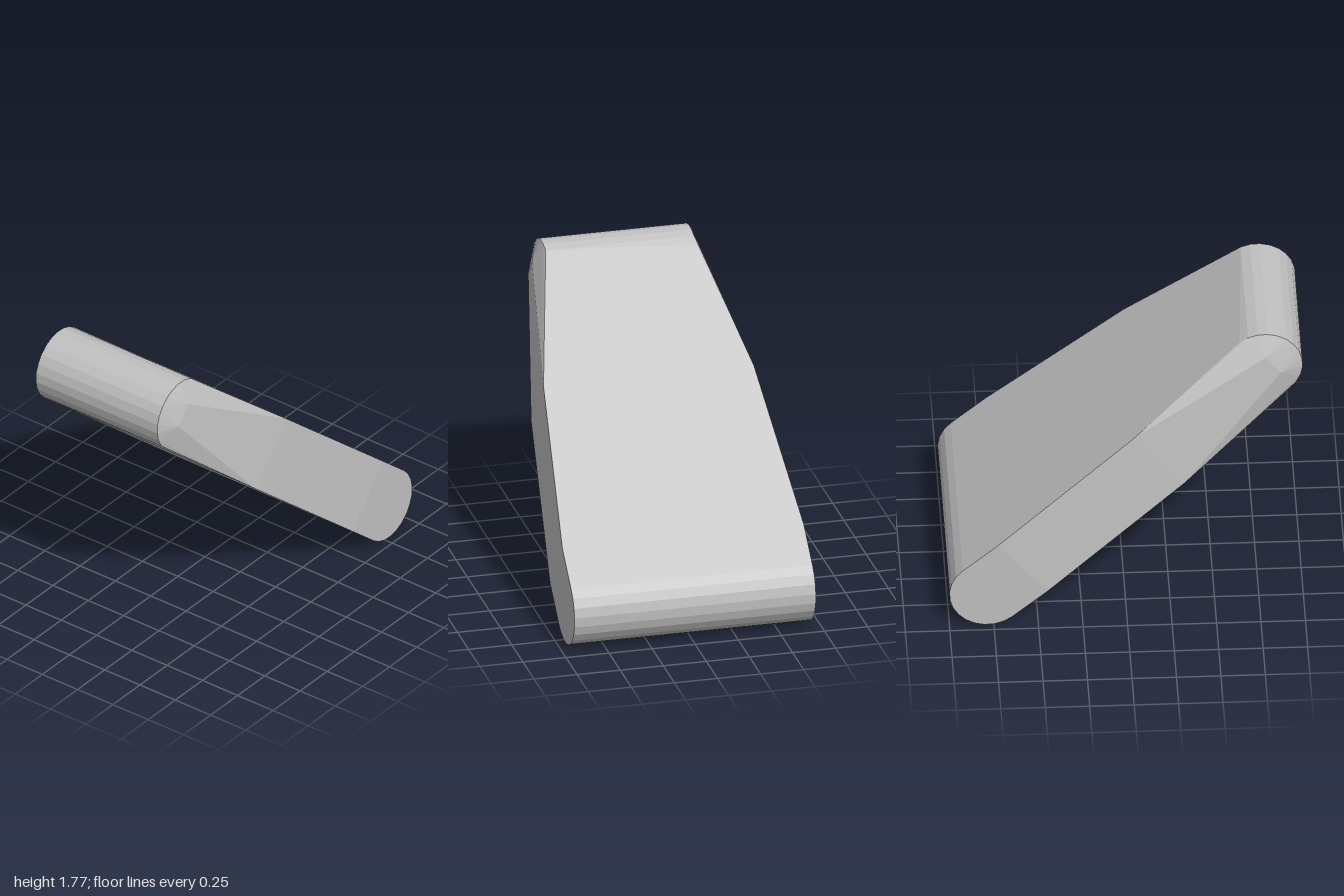
import * as THREE from 'three';
import { ConvexGeometry } from 'three/addons/geometries/ConvexGeometry.js';

const R = 0.215;                              // half thickness of the slab
const LOW = { z: -0.785, y: 0.215 };          // axis of the rounded low end
const HIGH = { z: 0.785, y: 1.555 };          // axis of the rounded high end
const LENGTH = Math.hypot(HIGH.z - LOW.z, HIGH.y - LOW.y);
const UZ = (HIGH.z - LOW.z) / LENGTH, UY = (HIGH.y - LOW.y) / LENGTH;

// x across, s along the slope from the low axis, n out of the upper face
function point(x, s, n) {
  return new THREE.Vector3(x, LOW.y + s * UY + n * UZ, LOW.z + s * UZ - n * UY);
}

export function createModel() {
  const grey = new THREE.MeshStandardMaterial({ color: 0xc0c0c0, flatShading: true });
  grey.name = 'light grey';

  const points = [];
  const steps = 12;
  for (const side of [-1, 1]) {
    // rounded ends; the left rim of the high end stops one step short
    const skip = side > 0 ? 1 : 0;
    for (let i = 0; i <= steps; i++) {
      const a = (i / steps) * Math.PI;
      const ds = R * Math.sin(a), n = R * Math.cos(a);
      points.push(point(side * 0.70, -ds, n));
      if (i >= skip && i <= steps - skip) points.push(point(side * 0.43, LENGTH + ds, n));
    }
    // side walls narrowing in steps towards the high end
    for (const [x, s, n] of [[0.70, 0.26, R], [0.61, 1.276, R], [0.485, LENGTH + 0.06, 0.068]]) {
      points.push(point(side * x, s, n), point(side * x, s, -n));
    }
  }

  const slab = new THREE.Mesh(new ConvexGeometry(points), grey);
  slab.name = 'taperedSlab';
  const group = new THREE.Group();
  group.name = 'slopedSlab';
  group.add(slab);
  return group;
}
